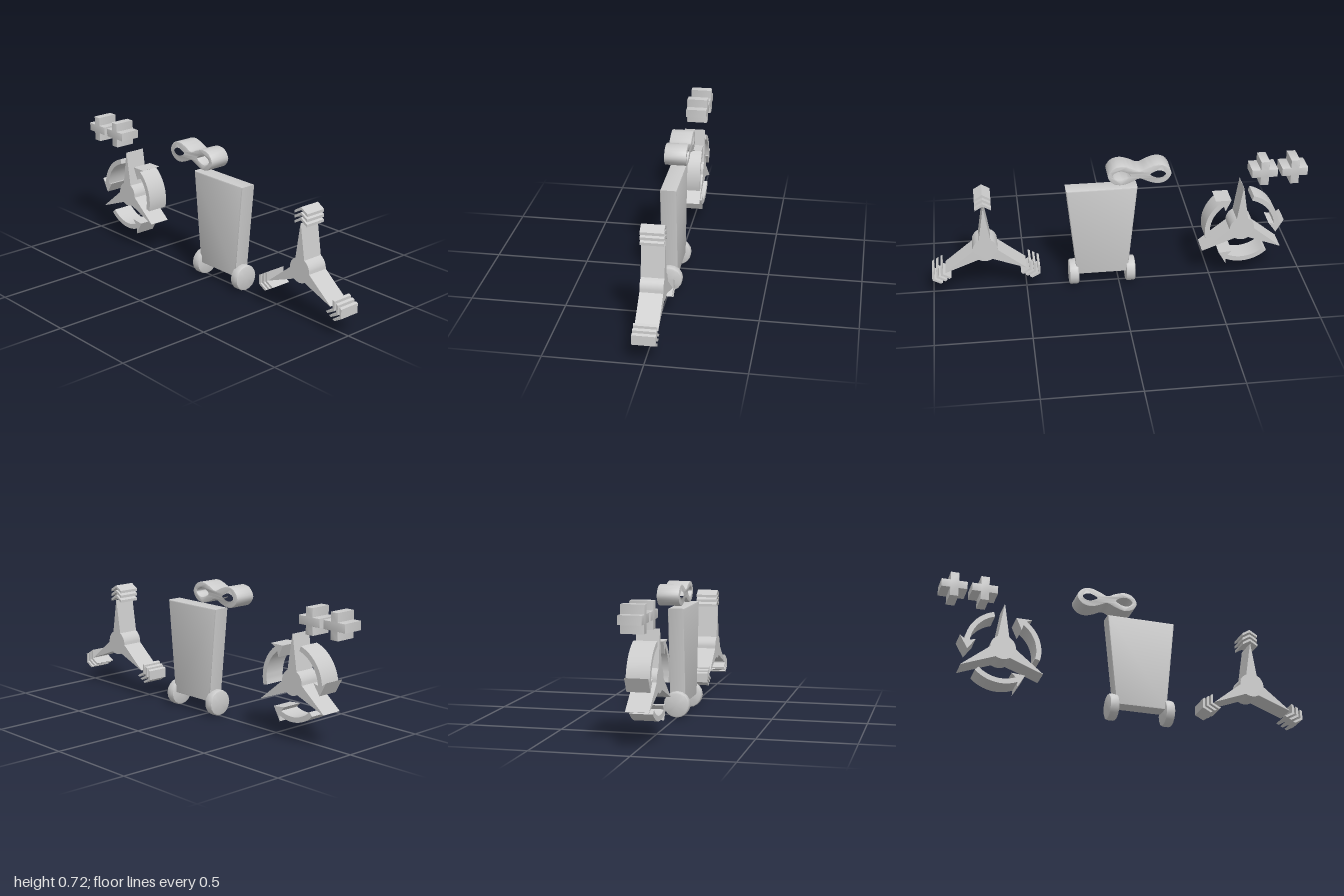
import * as THREE from 'three';
import { toCreasedNormals } from 'three/addons/utils/BufferGeometryUtils.js';

const material = new THREE.MeshStandardMaterial({ color: 0xcccccc });
const TAU = Math.PI * 2;
const DEPTH = 0.117;
const v = (x, y) => new THREE.Vector2(x, y);
const polar = (r, a) => v(r * Math.cos(a), r * Math.sin(a));
const deg = THREE.MathUtils.degToRad;

// Extrudes an outline along x, centred; outline x becomes -z.
function slab(name, shape, u, y, depth = DEPTH, bevel = 0) {
  const geo = new THREE.ExtrudeGeometry(shape, {
    depth: depth - 2 * bevel, curveSegments: 12,
    bevelEnabled: bevel > 0, bevelSize: bevel, bevelThickness: bevel, bevelOffset: -bevel, bevelSegments: 2,
  });
  geo.translate(0, 0, -(depth - 2 * bevel) / 2);
  geo.rotateY(Math.PI / 2);
  const mesh = new THREE.Mesh(toCreasedNormals(geo, 0.6), material);
  mesh.name = name;
  mesh.position.set(0, y, -u);
  return mesh;
}

// Three tapered blades growing out of a round hub
function rotorShape() {
  const pts = [];
  const hub = 0.067, half = deg(27);
  for (let i = 0; i < 3; i++) {
    const a = Math.PI / 2 + (i * TAU) / 3;
    pts.push(polar(0.247, a - 0.004), polar(0.247, a + 0.004));
    for (let k = 0; k <= 6; k++) {
      pts.push(polar(hub, a + half + ((TAU / 3 - 2 * half) * k) / 6));
    }
  }
  return new THREE.Shape(pts);
}

// Chevron pointing outward along angle a, apex at radius r
function chevronShape(r, a) {
  const w = 0.043, drop = 0.026, t = 0.014;
  const pts = [v(0, r), v(-w, r - drop), v(-w, r - drop - t), v(0, r - t), v(w, r - drop - t), v(w, r - drop)];
  return new THREE.Shape(pts.map((p) => p.rotateAround(v(0, 0), a)));
}

// Curved arrow sweeping clockwise from its start angle
function arrowShape(start) {
  const inner = 0.175, outer = 0.202, mid = 0.188;
  const neck = start - deg(68), barb = start - deg(64), tip = start - deg(84);
  const pts = [];
  for (let k = 0; k <= 12; k++) pts.push(polar(inner, start + ((neck - start) * k) / 12));
  pts.push(polar(mid - 0.042, barb), polar(mid, tip), polar(mid + 0.042, barb));
  for (let k = 12; k >= 0; k--) pts.push(polar(outer, start + ((neck - start) * k) / 12));
  return new THREE.Shape(pts);
}

function plusShape() {
  const L = 0.069, w = 0.023, pts = [];
  for (let i = 0; i < 4; i++) {
    for (const p of [v(w, w), v(w, L), v(-w, L)]) pts.push(p.rotateAround(v(0, 0), (i * TAU) / 4));
  }
  return new THREE.Shape(pts);
}

// Figure-eight band with two teardrop holes
function infinityShape() {
  const quarter = [[0, 0.022], [0.045, 0.041], [0.095, 0.055], [0.14, 0.043]];
  const outline = [
    ...quarter, [0.167, 0],
    ...quarter.slice(1).reverse().map(([x, y]) => [x, -y]), [0, -0.022],
    ...quarter.slice(1).map(([x, y]) => [-x, -y]), [-0.167, 0],
    ...quarter.slice(1).reverse().map(([x, y]) => [-x, y]),
  ].map(([x, y]) => new THREE.Vector3(x, y, 0));
  const hole = [[0.05, 0], [0.072, 0.017], [0.1, 0.025], [0.128, 0.017], [0.141, 0],
    [0.128, -0.017], [0.1, -0.025], [0.072, -0.017]];
  const loop = (pts, n) => new THREE.CatmullRomCurve3(pts, true).getPoints(n).slice(0, -1).map((p) => v(p.x, p.y));
  const shape = new THREE.Shape(loop(outline, 64));
  for (const s of [1, -1]) {
    shape.holes.push(new THREE.Path(loop(hole.map(([x, y]) => new THREE.Vector3(s * x, y, 0)), 32)));
  }
  return shape;
}

// Wheel with rounded rim, axle along z
function wheel(name, z) {
  const r = 0.07, h = 0.026, b = 0.011;
  const profile = [v(0, -h), v(r - b, -h), v(r - b * 0.3, -h + b * 0.3), v(r, -h + b),
    v(r, h - b), v(r - b * 0.3, h - b * 0.3), v(r - b, h), v(0, h)];
  const geo = new THREE.LatheGeometry(profile, 16).rotateX(Math.PI / 2);
  const mesh = new THREE.Mesh(toCreasedNormals(geo, 0.7), material);
  mesh.name = name;
  mesh.position.set(0, r, z);
  return mesh;
}

export function createModel() {
  const model = new THREE.Group();
  model.name = 'signSet';

  // Rotor with chevrons beyond each blade tip
  const chevronRotor = new THREE.Group();
  chevronRotor.name = 'chevronRotor';
  chevronRotor.add(slab('rotor', rotorShape(), -0.714, 0.273));
  for (let i = 0; i < 3; i++) {
    for (let k = 0; k < 3; k++) {
      chevronRotor.add(slab('chevron', chevronShape(0.332 - k * 0.027, (i * TAU) / 3), -0.714, 0.273));
    }
  }

  // Tapered bin on two wheels
  const bin = new THREE.Group();
  bin.name = 'wheeledBin';
  const body = new THREE.Shape([v(-0.137, 0.075), v(0.137, 0.075), v(0.188, 0.585), v(-0.188, 0.585)]);
  bin.add(slab('binBody', body, -0.092, 0, 0.086, 0.007));
  bin.add(wheel('frontWheel', 0.245), wheel('backWheel', -0.061));

  // Rotor circled by three arrows
  const arrowRotor = new THREE.Group();
  arrowRotor.name = 'arrowRotor';
  arrowRotor.add(slab('rotor', rotorShape(), 0.66, 0.305));
  for (let i = 0; i < 3; i++) {
    arrowRotor.add(slab('circlingArrow', arrowShape(deg(194 - 120 * i)), 0.66, 0.305));
  }

  // Floating symbols
  model.add(chevronRotor, bin, arrowRotor);
  model.add(slab('infinityLoop', infinityShape(), 0.104, 0.667, DEPTH, 0.004));
  for (const u of [0.768, 0.929]) model.add(slab('plusSign', plusShape(), u, 0.631, DEPTH, 0.004));
  return model;
}
